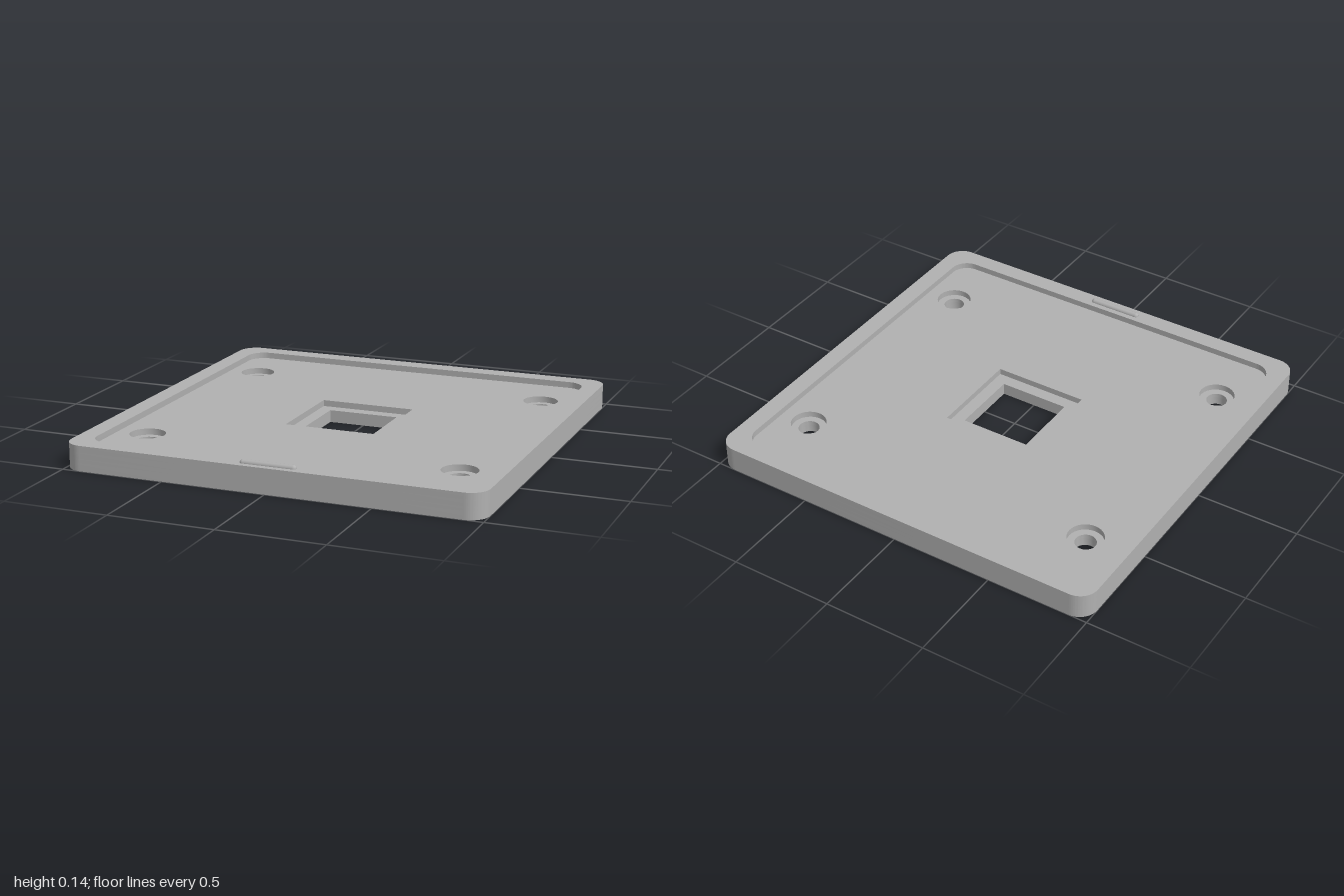
import * as THREE from 'three';
import { toCreasedNormals } from 'three/addons/utils/BufferGeometryUtils.js';

// Outlines are drawn in plan: shape x = x, shape y = -z
function roundedSquare(Type, half, r) {
  const s = new Type();
  const c = half - r;
  s.moveTo(half, -c);
  s.absarc(c, c, r, 0, Math.PI / 2, false);
  s.absarc(-c, c, r, Math.PI / 2, Math.PI, false);
  s.absarc(-c, -c, r, Math.PI, Math.PI * 1.5, false);
  s.absarc(c, -c, r, Math.PI * 1.5, Math.PI * 2, false);
  return s;
}

function circle(x, z, r) {
  const p = new THREE.Path();
  p.absarc(x, -z, r, 0, Math.PI * 2, false);
  return p;
}

function slot(x, z, length, width, degrees) {
  const corners = [[-1, -1], [1, -1], [1, 1], [-1, 1]].map(([u, v]) =>
    new THREE.Vector2(u * length / 2, v * width / 2)
      .rotateAround(new THREE.Vector2(), THREE.MathUtils.degToRad(degrees))
      .add(new THREE.Vector2(x, -z)));
  return new THREE.Path(corners);
}

export function createModel() {
  const group = new THREE.Group();
  group.name = 'mountingPlate';
  const grey = new THREE.MeshStandardMaterial({ color: 0xb0b0b0 });
  grey.name = 'plate grey';

  const add = (name, geometry) => {
    const mesh = new THREE.Mesh(geometry, grey);
    mesh.name = name;
    group.add(mesh);
    return mesh;
  };

  // One horizontal slice of the plate, cut through by the given holes
  const addLayer = (name, y0, y1, holes) => {
    const shape = roundedSquare(THREE.Shape, 1, 0.09);
    shape.holes.push(...holes);
    const geometry = new THREE.ExtrudeGeometry(shape, {
      depth: y1 - y0, bevelEnabled: false, curveSegments: 16,
    });
    geometry.rotateX(-Math.PI / 2).translate(0, y0, 0);
    add(name, toCreasedNormals(geometry, Math.PI / 6));
  };

  const screwHoles = (r) => [-1, 1].flatMap((sx) =>
    [-1, 1].map((sz) => circle(sx * 0.765, sz * 0.617, r)));
  const window = (half) => slot(0, 0, half * 2, half * 2, 0);

  // Slanted pockets in the underside: x, z, angle
  const pockets = [
    [0.35, -0.517, 44],
    [0.58, -0.095, 25],
    [0.494, 0.454, 31],
    [-0.093, -0.558, 41],
    [-0.13, 0.4, 35],
    [-0.63, -0.17, 119],
  ].map(([x, z, a]) => slot(x, z, 0.47, 0.115, a));

  addLayer('slottedBase', 0, 0.04, [...screwHoles(0.05), window(0.173), ...pockets]);
  addLayer('ledge', 0.04, 0.06, [...screwHoles(0.05), window(0.173)]);
  addLayer('floor', 0.06, 0.09, [...screwHoles(0.085), window(0.233)]);
  addLayer('rim', 0.09, 0.12, [roundedSquare(THREE.Path, 0.912, 0.085)]);

  // Small rounded ridge on the front rim
  const ridge = add('frontRidge', new THREE.CapsuleGeometry(0.016, 0.238, 8, 20));
  ridge.rotation.z = Math.PI / 2;
  ridge.position.set(0, 0.12, 0.955);

  return group;
}
